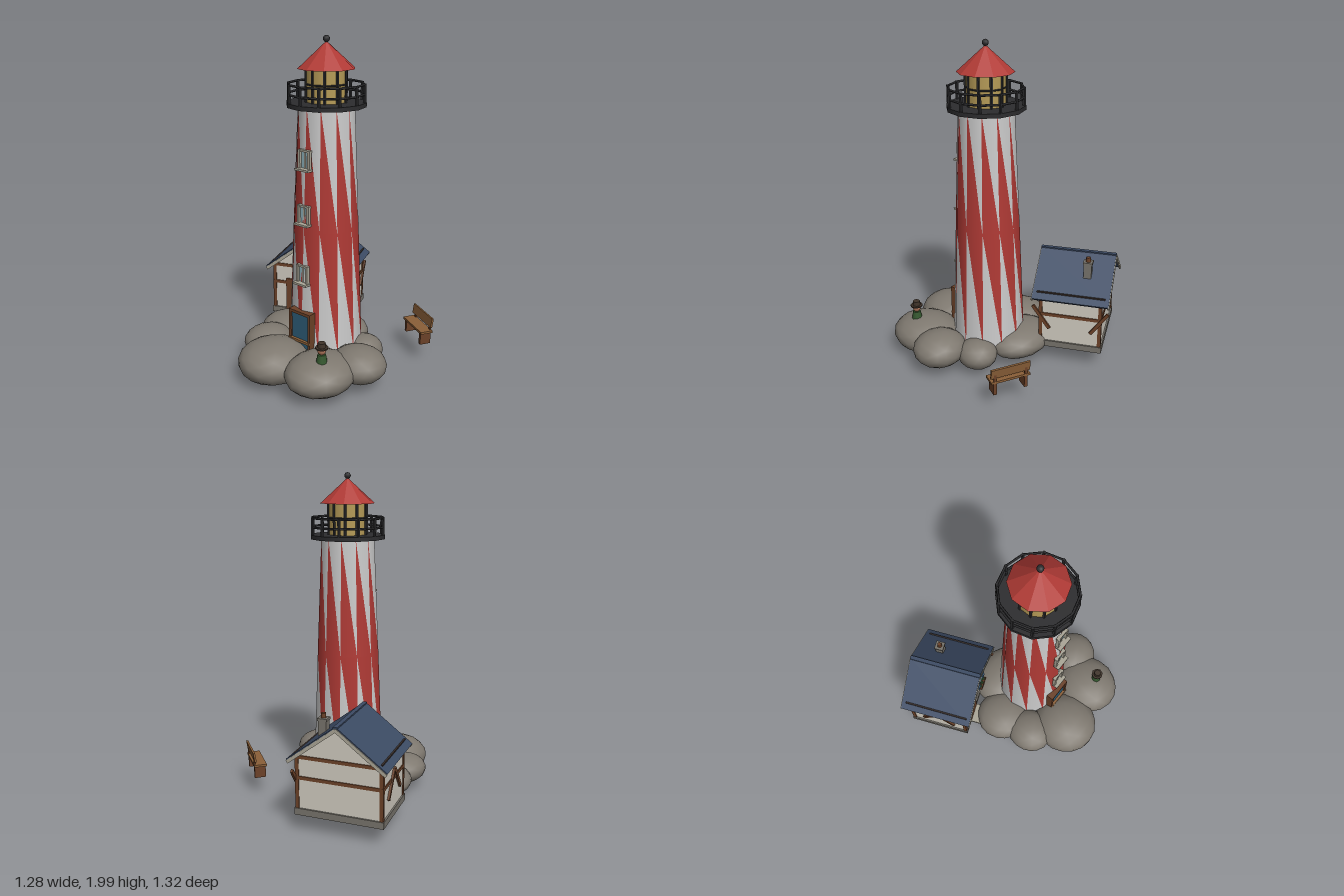
import * as THREE from 'three';

const mat = (color, extra = {}) => new THREE.MeshStandardMaterial({ color, ...extra });
const RED = mat(0xb03a35), WHITE = mat(0xd2d2d2), DARK = mat(0x2c2c2e), GLOW = mat(0xb89d58);
const ROCK = mat(0x7f7970), PLASTER = mat(0xcfcabf), STONE = mat(0x77736b), TIMBER = mat(0x6b4128);
const SLATE = mat(0x3c4b64, { side: THREE.DoubleSide }), TRIM = mat(0xaaa596), WOOD = mat(0x8a5f38);
const DOORBLUE = mat(0x2d5d78), GLASS = mat(0x8fb3bd), GREEN = mat(0x35582f), SKIN = mat(0xa06a50);
const HAT = mat(0x40342a), SHUTTER = mat(0x4a6b8a), RAILWOOD = mat(0x3a302c);
const ROOFRED = mat(0xb03a35, { flatShading: true, side: THREE.DoubleSide });

function add(parent, name, geo, material, x = 0, y = 0, z = 0) {
  const m = new THREE.Mesh(geo, material);
  m.name = name;
  m.position.set(x, y, z);
  parent.add(m);
  return m;
}
const box = (p, name, m, w, h, d, x, y, z) => add(p, name, new THREE.BoxGeometry(w, h, d), m, x, y, z);
function group(parent, name, x = 0, y = 0, z = 0, ry = 0) {
  const g = new THREE.Group();
  g.name = name;
  g.position.set(x, y, z);
  g.rotation.y = ry;
  parent.add(g);
  return g;
}

// Tower wall: two rings of long triangles; odd and even ones get different colours
function stripes(red) {
  const n = 12, pos = [], nor = [];
  const rings = [[0.225, 0.15], [0.195, 0.91], [0.165, 1.62]];
  const put = (ring, i) => {
    const a = (i / n) * Math.PI * 2, [r, y] = rings[ring];
    pos.push(Math.sin(a) * r, y, Math.cos(a) * r);
    nor.push(Math.sin(a), 0.04, Math.cos(a));
  };
  for (let i = 0; i < n; i++) {
    const tris = red
      ? [[1, i, 1, i + 1, 2, i], [1, i, 0, i + 1, 1, i + 1]]
      : [[1, i + 1, 2, i + 1, 2, i], [1, i, 0, i, 0, i + 1]];
    for (const t of tris) for (let k = 0; k < 6; k += 2) put(t[k], t[k + 1]);
  }
  const g = new THREE.BufferGeometry();
  g.setAttribute('position', new THREE.Float32BufferAttribute(pos, 3));
  g.setAttribute('normal', new THREE.Float32BufferAttribute(nor, 3));
  return g;
}

function buildTower(root) {
  const t = group(root, 'tower', 0.125, 0, 0.07);
  add(t, 'redStripes', stripes(true), RED);
  add(t, 'whiteStripes', stripes(false), WHITE);

  // Gallery deck and railing
  add(t, 'galleryDeck', new THREE.CylinderGeometry(0.23, 0.23, 0.025, 12), DARK, 0, 1.622, 0);
  for (const y of [1.68, 1.735]) {
    const rail = add(t, 'galleryRail', new THREE.TorusGeometry(0.218, 0.007, 4, 12), DARK, 0, y, 0);
    rail.rotation.set(Math.PI / 2, 0, Math.PI / 2);
  }
  for (let i = 0; i < 12; i++) {
    const a = (i / 12) * Math.PI * 2;
    box(t, 'railPost', DARK, 0.013, 0.11, 0.013, Math.sin(a) * 0.218, 1.685, Math.cos(a) * 0.218);
  }

  // Lantern room
  add(t, 'lantern', new THREE.CylinderGeometry(0.115, 0.115, 0.2, 10), GLOW, 0, 1.73, 0);
  for (let i = 0; i < 10; i++) {
    const a = (i / 10) * Math.PI * 2;
    box(t, 'lanternBar', DARK, 0.012, 0.2, 0.012, Math.sin(a) * 0.116, 1.73, Math.cos(a) * 0.116);
  }
  const band = add(t, 'lanternBand', new THREE.TorusGeometry(0.115, 0.005, 4, 10), DARK, 0, 1.735, 0);
  band.rotation.set(Math.PI / 2, 0, Math.PI / 2);
  add(t, 'towerRoof', new THREE.ConeGeometry(0.167, 0.15, 10), ROOFRED, 0, 1.895, 0);
  add(t, 'finial', new THREE.IcosahedronGeometry(0.02, 1), DARK, 0, 1.982, 0);

  // Windows follow the taper of the wall
  for (const [y, z] of [[1.27, 0.19], [0.95, 0.2], [0.59, 0.213]]) {
    const w = group(t, 'towerWindow', 0, y, z);
    box(w, 'windowSill', TRIM, 0.1, 0.012, 0.04, 0, 0.004, 0.006);
    box(w, 'windowHead', TRIM, 0.085, 0.012, 0.02, 0, 0.11, -0.01);
    for (const s of [-1, 1]) box(w, 'windowJamb', TRIM, 0.016, 0.11, 0.02, s * 0.036, 0.06, -0.006);
    box(w, 'windowMullion', TRIM, 0.008, 0.1, 0.012, 0, 0.06, -0.012);
    box(w, 'windowGlass', GLASS, 0.06, 0.1, 0.01, 0, 0.06, -0.016);
  }

  // Door
  box(t, 'towerDoor', DOORBLUE, 0.13, 0.22, 0.03, 0, 0.3, 0.215);
  for (const s of [-1, 1]) box(t, 'doorJamb', TIMBER, 0.018, 0.23, 0.05, s * 0.074, 0.3, 0.215);
  box(t, 'doorHead', TIMBER, 0.166, 0.018, 0.05, 0, 0.413, 0.215);
  box(t, 'doorStep', WOOD, 0.16, 0.015, 0.03, 0, 0.235, 0.232);
}

function buildRocks(root) {
  // x, y, z, radius x, y, z
  const rocks = [
    [0.04, 0.135, 0.44, 0.21, 0.125, 0.22], [0.36, 0.145, 0.39, 0.2, 0.115, 0.22],
    [0.47, 0.155, 0.18, 0.17, 0.105, 0.16], [0.35, 0.13, -0.02, 0.12, 0.09, 0.125],
    [0.05, 0.14, -0.12, 0.23, 0.1, 0.18], [-0.19, 0.14, 0.06, 0.175, 0.09, 0.175],
    [-0.16, 0.14, 0.28, 0.145, 0.09, 0.16]];
  rocks.forEach(([x, y, z, a, b, c], i) => {
    const r = add(root, 'rock', new THREE.IcosahedronGeometry(1, 2), ROCK, x, y, z);
    r.geometry.rotateY(i * 1.3);
    r.scale.set(a, b, c);
  });
}

function buildHouse(root) {
  const h = group(root, 'cottage', -0.28, 0, -0.335, 0.392);
  const W = 0.255, D = 0.19;
  box(h, 'foundation', STONE, 0.53, 0.04, 0.4, 0, 0.142, 0);

  // Walls with gables in one extrusion
  const s = new THREE.Shape([[-W, 0.15], [W, 0.15], [W, 0.475], [0, 0.665], [-W, 0.475]]
    .map(([x, y]) => new THREE.Vector2(x, y)));
  add(h, 'walls', new THREE.ExtrudeGeometry(s, { depth: 2 * D, bevelEnabled: false }), PLASTER, 0, 0, -D);

  // Roof slabs, ridge, verge boards and wall plates
  const pitch = Math.atan2(0.22, 0.29), len = Math.hypot(0.22, 0.29);
  for (const k of [-1, 1]) {
    const slab = box(h, 'roofSlab', SLATE, len, 0.016, 0.47, k * 0.145, 0.567, 0);
    slab.rotation.z = -k * pitch;
    for (const z of [-0.235, 0.235]) {
      const verge = box(h, 'vergeBoard', TRIM, len, 0.02, 0.01, k * 0.143, 0.559, z);
      verge.rotation.z = -k * pitch;
    }
    box(h, 'wallPlate', RAILWOOD, 0.014, 0.03, 0.42, k * 0.252, 0.483, 0);
  }
  box(h, 'ridgeBeam', SLATE, 0.026, 0.018, 0.475, 0, 0.676, 0);

  // Timber framing
  for (const z of [-1, 1]) {
    for (const y of [0.345, 0.468]) box(h, 'gableBeam', TIMBER, 2 * W, 0.02, 0.012, 0, y, z * D);
    for (const x of [-1, 1]) box(h, 'cornerPost', TIMBER, 0.022, 0.31, 0.022, x * (W - 0.006), 0.315, z * (D - 0.006));
  }
  for (const x of [-1, 1]) {
    box(h, 'sideBeam', TIMBER, 0.012, 0.02, 2 * D, x * W, 0.345, 0);
    for (const z of [-1, 1]) {
      const b = box(h, 'brace', TIMBER, 0.014, 0.18, 0.02, x * (W + 0.006), 0.325, z * (x > 0 ? 0.18 : 0.055));
      b.rotation.x = x * z * 0.62;
    }
  }

  // Door, step, window with shutters and flower box on the front gable
  box(h, 'cottageDoor', TIMBER, 0.12, 0.23, 0.02, -0.106, 0.26, D + 0.002);
  box(h, 'cottageStep', TRIM, 0.13, 0.02, 0.07, -0.11, 0.135, 0.23);
  box(h, 'cottageWindow', GLASS, 0.06, 0.09, 0.014, 0.085, 0.305, D);
  for (const k of [-1, 1]) box(h, 'shutter', SHUTTER, 0.03, 0.095, 0.02, 0.085 + k * 0.044, 0.305, D + 0.006);
  box(h, 'flowerBox', TIMBER, 0.09, 0.025, 0.03, 0.085, 0.243, D + 0.015);
  for (const k of [-1, 0, 1]) add(h, 'plant', new THREE.IcosahedronGeometry(0.013, 0), GREEN, 0.085 + k * 0.028, 0.26, D + 0.015);

  // Chimney
  box(h, 'chimney', STONE, 0.048, 0.11, 0.048, 0.131, 0.615, -0.081);
  box(h, 'chimneyCap', STONE, 0.058, 0.014, 0.058, 0.131, 0.668, -0.081);
  add(h, 'chimneyPot', new THREE.CylinderGeometry(0.014, 0.016, 0.03, 8), TIMBER, 0.131, 0.688, -0.081);
}

function buildBench(root) {
  const b = group(root, 'bench', 0.507, 0, -0.378, -0.5);
  box(b, 'benchSeat', WOOD, 0.24, 0.014, 0.08, 0, 0.208, 0);
  for (const x of [-1, 1]) {
    box(b, 'benchLeg', TIMBER, 0.02, 0.08, 0.07, x * 0.095, 0.165, 0);
    box(b, 'backSupport', TIMBER, 0.016, 0.07, 0.01, x * 0.095, 0.235, -0.034);
  }
  const back = box(b, 'benchBack', WOOD, 0.24, 0.06, 0.012, 0, 0.265, -0.034);
  back.rotation.x = -0.15;
}

function buildKeeper(root) {
  const k = group(root, 'keeper', 0.405, 0, 0.43);
  add(k, 'coat', new THREE.CylinderGeometry(0.024, 0.034, 0.06, 8), GREEN, 0, 0.265, 0);
  add(k, 'head', new THREE.IcosahedronGeometry(0.024, 1), SKIN, 0, 0.315, 0);
  add(k, 'hatBrim', new THREE.CylinderGeometry(0.038, 0.038, 0.008, 8), HAT, 0, 0.335, 0);
  add(k, 'hatCrown', new THREE.CylinderGeometry(0.022, 0.024, 0.028, 8), HAT, 0, 0.352, 0);
}

export function createModel() {
  const root = new THREE.Group();
  root.name = 'lighthouseScene';
  buildRocks(root);
  buildTower(root);
  buildHouse(root);
  buildBench(root);
  buildKeeper(root);
  return root;
}
